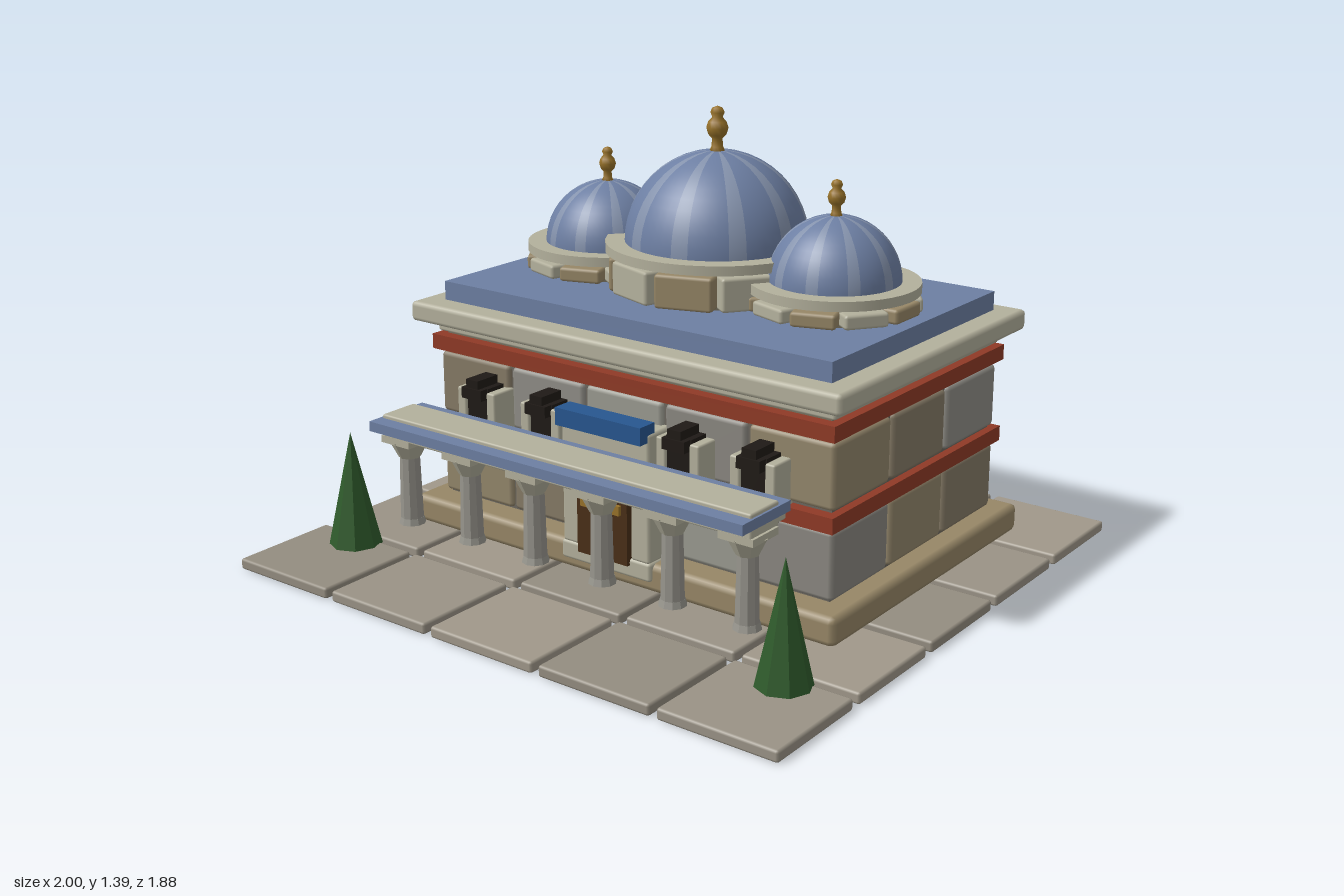
import * as THREE from 'three';
import { RoundedBoxGeometry } from 'three/addons/geometries/RoundedBoxGeometry.js';

const materials = {};
function mat(color, flat = false) {
  const key = color + (flat ? 'f' : 's');
  return (materials[key] ??= new THREE.MeshStandardMaterial({ color, flatShading: flat, side: THREE.DoubleSide }));
}

const STONE = 0xb3b09c, TAN = 0x978767, RED = 0x8f3a26, BLUE = 0x6d7fa3, LIGHT_BLUE = 0x8593ad;
const GOLD = 0x97722a, BLACK = 0x1f1a16, DOOR = 0x4a2e17, SIGN = 0x27568f, GREEN = 0x2f5a2b, GREY = 0x96948c;
const WALLS = [0x8f8d86, 0x93866b, 0x9a9a90, 0x857a66, 0x8a8780];
const TILES = [0x9a9386, 0x948d80, 0xa0988a];
const CENTRE_Z = -0.17;

function add(parent, name, geometry, color, x = 0, y = 0, z = 0, flat = false) {
  const mesh = new THREE.Mesh(geometry, mat(color, flat));
  mesh.name = name;
  mesh.position.set(x, y, z);
  parent.add(mesh);
  return mesh;
}

// Box given by its limits, with rounded edges when r > 0
function block(parent, name, color, [x0, x1], [y0, y1], [z0, z1], r = 0) {
  const s = [x1 - x0, y1 - y0, z1 - z0];
  const geometry = r ? new RoundedBoxGeometry(...s, 1, r) : new THREE.BoxGeometry(...s);
  return add(parent, name, geometry, color, (x0 + x1) / 2, (y0 + y1) / 2, (z0 + z1) / 2);
}

function group(parent, name, x = 0, y = 0, z = 0) {
  const g = new THREE.Group();
  g.name = name;
  g.position.set(x, y, z);
  parent.add(g);
  return g;
}

// Paving of five by five slabs
function paving(parent) {
  const g = group(parent, 'paving');
  for (let i = 0; i < 5; i++) for (let j = 0; j < 5; j++) {
    const x = -0.808 + i * 0.404, z = -0.764 + j * 0.382;
    block(g, 'pavingSlab', TILES[(i * 2 + j) % 3], [x - 0.19, x + 0.19], [0, 0.035], [z - 0.176, z + 0.176], 0.008);
  }
}

// One storey of stone blocks around a solid core
function storey(parent, y0, y1, shift) {
  const g = group(parent, 'wallStorey');
  block(g, 'wallCore', 0x6b675e, [-0.725, 0.725], [y0 - 0.02, y1 + 0.04], [-0.625, 0.28]);
  for (let i = 0; i < 5; i++) for (let j = 0; j < 3; j++) {
    if (i > 0 && i < 4 && j === 1) continue;
    const x = -0.596 + i * 0.298, z = -0.487 + j * 0.315;
    block(g, 'wallBlock', WALLS[(i * 2 + j * 3 + shift) % 5], [x - 0.144, x + 0.144], [y0, y1], [z - 0.152, z + 0.152], 0.014);
  }
}

// Dome with striped panels, stone ring, block drum and gold finial
function dome(parent, x, r, ringR, drumR, ringY, finialScale) {
  const g = group(parent, 'dome', x, 0, CENTRE_Z - 0.005);
  const floor = 0.82, drumTop = ringY - 0.01, count = 10, step = Math.PI * 2 / count;
  add(g, 'drumCore', new THREE.CylinderGeometry(drumR - 0.05, drumR - 0.05, ringY - floor, 20), 0x77715f, 0, (ringY + floor) / 2, 0);
  for (let i = 0; i < count; i++) {
    const a = (i + 0.5) * step;
    const size = 2 * drumR * Math.sin(step / 2) - 0.025;
    const b = add(g, 'drumBlock', new RoundedBoxGeometry(size, drumTop - floor - 0.01, 0.07, 1, 0.01),
      i % 2 ? STONE : TAN, Math.sin(a) * (drumR - 0.04), (drumTop + floor + 0.01) / 2, Math.cos(a) * (drumR - 0.04));
    b.rotation.y = a;
  }
  add(g, 'domeRing', new THREE.CylinderGeometry(ringR, ringR, 0.03, 40), STONE, 0, ringY + 0.015, 0);
  for (let i = 0; i < count; i++) {
    const dark = step * 0.7;
    for (const [color, start, span] of [[BLUE, 0, dark], [LIGHT_BLUE, dark, step - dark]])
      add(g, 'domePanel', new THREE.SphereGeometry(r, color === BLUE ? 4 : 2, 12, i * step + start, span, 0, Math.PI / 2), color, 0, ringY + 0.025, 0);
  }
  const profile = [[0, -0.01], [0.03, -0.01], [0.018, 0.015], [0.016, 0.04], [0.028, 0.052], [0.034, 0.073], [0.028, 0.092],
    [0.016, 0.105], [0.022, 0.12], [0.016, 0.133], [0, 0.14]].map(p => new THREE.Vector2(...p));
  add(g, 'domeFinial', new THREE.LatheGeometry(profile, 12), GOLD, 0, ringY + 0.02 + r, 0).scale.setScalar(finialScale);
}

// Tall framed window with a stepped dark head and sill
function makeWindow(parent, x) {
  const g = group(parent, 'window', x);
  for (const s of [-1, 1])
    block(g, 'windowJamb', STONE, [s * 0.06 - 0.017, s * 0.06 + 0.017], [0.35, 0.525], [0.28, 0.375], 0.006);
  block(g, 'windowPane', BLACK, [-0.044, 0.044], [0.35, 0.535], [0.28, 0.365]);
  block(g, 'windowHead', BLACK, [-0.04, 0.04], [0.5, 0.535], [0.3, 0.395]);
  block(g, 'windowKeystone', BLACK, [-0.024, 0.024], [0.535, 0.562], [0.3, 0.39]);
  block(g, 'windowSill', BLACK, [-0.056, 0.056], [0.345, 0.39], [0.3, 0.395]);
  block(g, 'windowSillFoot', BLACK, [-0.042, 0.042], [0.325, 0.345], [0.3, 0.385]);
}

// Doorway with a double door, step and sign panel
function entrance(parent) {
  const g = group(parent, 'entrance');
  block(g, 'doorStep', STONE, [-0.17, 0.17], [0.065, 0.125], [0.25, 0.388], 0.01);
  for (const s of [-1, 1]) {
    block(g, 'doorPillar', STONE, [s * 0.13 - 0.035, s * 0.13 + 0.035], [0.12, 0.44], [0.27, 0.385], 0.01);
    block(g, 'doorLeaf', DOOR, [s * 0.049 - 0.046, s * 0.049 + 0.046], [0.105, 0.42], [0.28, 0.4]);
    block(g, 'doorPlate', GOLD, [s * 0.06 - 0.014, s * 0.06 + 0.014], [0.262, 0.292], [0.39, 0.412]);
  }
  block(g, 'doorLintel', STONE, [-0.165, 0.165], [0.42, 0.525], [0.27, 0.385], 0.01);
  block(g, 'signPanel', SIGN, [-0.16, 0.16], [0.5, 0.555], [0.35, 0.418]);
}

// Column with a foot, faceted shaft and flared capital
function column(parent, x) {
  const g = group(parent, 'column', x, 0, 0.555);
  add(g, 'columnFoot', new THREE.CylinderGeometry(0.036, 0.042, 0.02, 10), GREY, 0, 0.13, 0, true);
  add(g, 'columnShaft', new THREE.CylinderGeometry(0.031, 0.036, 0.22, 10), GREY, 0, 0.24, 0, true);
  add(g, 'columnCapital', new THREE.CylinderGeometry(0.062, 0.034, 0.055, 8), STONE, 0, 0.365, 0, true);
  block(g, 'columnAbacus', STONE, [-0.058, 0.058], [0.388, 0.41], [-0.06, 0.06]);
}

export function createModel() {
  const model = new THREE.Group();
  model.name = 'domedHall';
  paving(model);

  // Plinth, walls, belts, cornice and roof
  block(model, 'plinth', TAN, [-0.8, 0.8], [0.03, 0.12], [-0.718, 0.376], 0.02);
  storey(model, 0.125, 0.335, 0);
  storey(model, 0.395, 0.595, 2);
  block(model, 'lowerBelt', RED, [-0.752, 0.752], [0.34, 0.388], [-0.66, 0.318]);
  block(model, 'upperBelt', RED, [-0.752, 0.752], [0.607, 0.655], [-0.66, 0.318]);
  block(model, 'frieze', 0x77715f, [-0.72, 0.72], [0.59, 0.72], [-0.62, 0.28]);
  block(model, 'friezeMoulding', STONE, [-0.742, 0.742], [0.664, 0.692], [-0.642, 0.302], 0.008);
  block(model, 'cornice', STONE, [-0.798, 0.798], [0.7, 0.765], [-0.712, 0.366], 0.015);
  block(model, 'roofSlab', BLUE, [-0.72, 0.72], [0.76, 0.825], [-0.64, 0.287]);

  dome(model, 0, 0.285, 0.345, 0.335, 0.945, 1);
  for (const s of [-1, 1]) dome(model, s * 0.432, 0.2, 0.258, 0.262, 0.885, 0.8);

  // Front openings
  entrance(model);
  for (const x of [-0.52, -0.26, 0.26, 0.52]) makeWindow(model, x);

  // Colonnade with its canopy
  const porch = group(model, 'colonnade');
  block(porch, 'canopyBeam', STONE, [-0.685, 0.685], [0.405, 0.48], [0.482, 0.615], 0.006);
  block(porch, 'canopyEaves', BLUE, [-0.692, 0.692], [0.437, 0.468], [0.437, 0.663]);
  for (let i = 0; i < 6; i++) column(porch, -0.635 + i * 0.254);

  // Conical trees
  for (const s of [-1, 1])
    add(model, 'tree', new THREE.ConeGeometry(0.083, 0.37, 8), GREEN, s * 0.81, 0.215, 0.635, true);

  return model;
}
